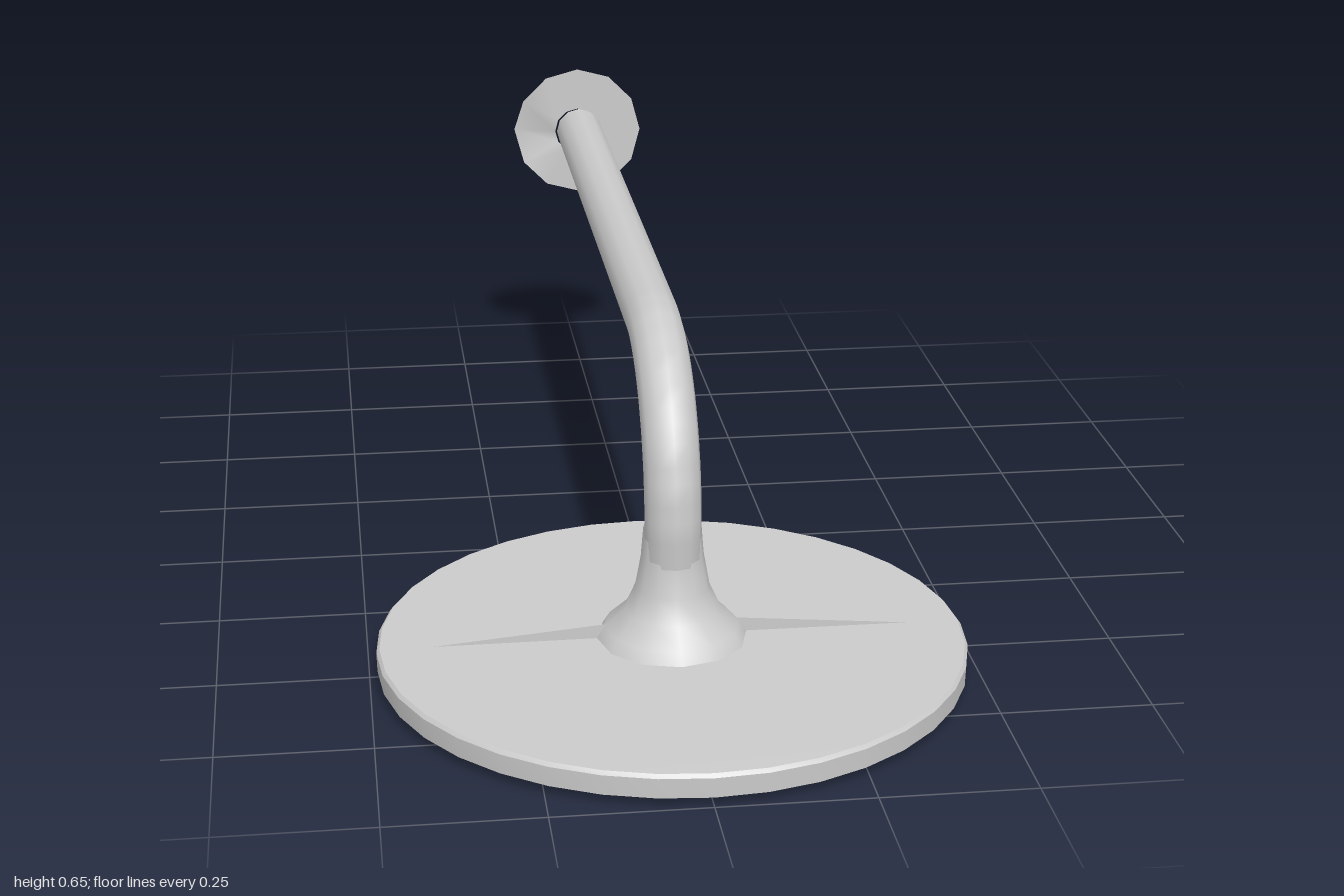
import * as THREE from 'three';
import { toCreasedNormals } from 'three/addons/utils/BufferGeometryUtils.js';

export function createModel() {
  const group = new THREE.Group();
  const material = new THREE.MeshStandardMaterial({ color: 0xcccccc, side: THREE.DoubleSide });
  const headZ = 0.51, armY = 0.518, pipeR = 0.047;

  const add = (name, geometry, x = 0, y = 0, z = 0) => {
    const mesh = new THREE.Mesh(geometry, material);
    mesh.name = name;
    mesh.position.set(x, y, z);
    group.add(mesh);
    return mesh;
  };
  const lathe = (pairs, sides) =>
    new THREE.LatheGeometry(pairs.map(([r, y]) => new THREE.Vector2(r, y)), sides);

  // Wide thin spray plate with a slightly bowed underside
  const plate = lathe([[0, 0], [0.3, 0.004], [0.47, 0.009], [0.487, 0.015],
    [0.488, 0.048], [0.483, 0.054], [0, 0.055]], 36);
  add('sprayHead', toCreasedNormals(plate, 0.6), 0, 0, headZ);

  // Thin raised seam running across the top of the plate
  const seam = new THREE.Shape([[-0.41, 0.053], [0.41, 0.053], [0.1, 0.08], [-0.1, 0.08]]
    .map(([x, y]) => new THREE.Vector2(x, y)));
  add('topSeam', new THREE.ShapeGeometry(seam), 0, 0, headZ);

  // Flared collar between plate and pipe
  add('collar', lathe([[0.125, 0.054], [0.112, 0.075], [0.08, 0.105], [0.062, 0.145],
    [0.052, 0.2], [0.048, 0.25]], 12), 0, 0, headZ);

  // Pipe: straight from the wall, quarter bend, then down into the collar
  const path = new THREE.CurvePath();
  const bend = 0.268, bendZ = 0.252;
  const corner = (t) => new THREE.Vector3(0,
    armY - bend + bend * Math.cos(t), bendZ + bend * Math.sin(t));
  path.add(new THREE.LineCurve3(new THREE.Vector3(0, armY, -0.98), corner(0)));
  const steps = 8;
  for (let i = 0; i < steps; i++) {
    path.add(new THREE.LineCurve3(corner(i / steps * Math.PI / 2), corner((i + 1) / steps * Math.PI / 2)));
  }
  path.add(new THREE.LineCurve3(corner(Math.PI / 2), new THREE.Vector3(0, 0.1, headZ)));
  add('arm', new THREE.TubeGeometry(path, 64, pipeR, 12, false));

  // Thin wall flange with one edge corner bent backward
  const flange = new THREE.RingGeometry(pipeR, 0.131, 12, 1);
  const p = flange.attributes.position;
  for (let i = 0; i < p.count; i++) {
    if (p.getX(i) < -0.13) p.setZ(i, -0.025);
  }
  flange.computeVertexNormals();
  add('wallFlange', flange, -0.004, armY + 0.002, -0.975);

  return group;
}
